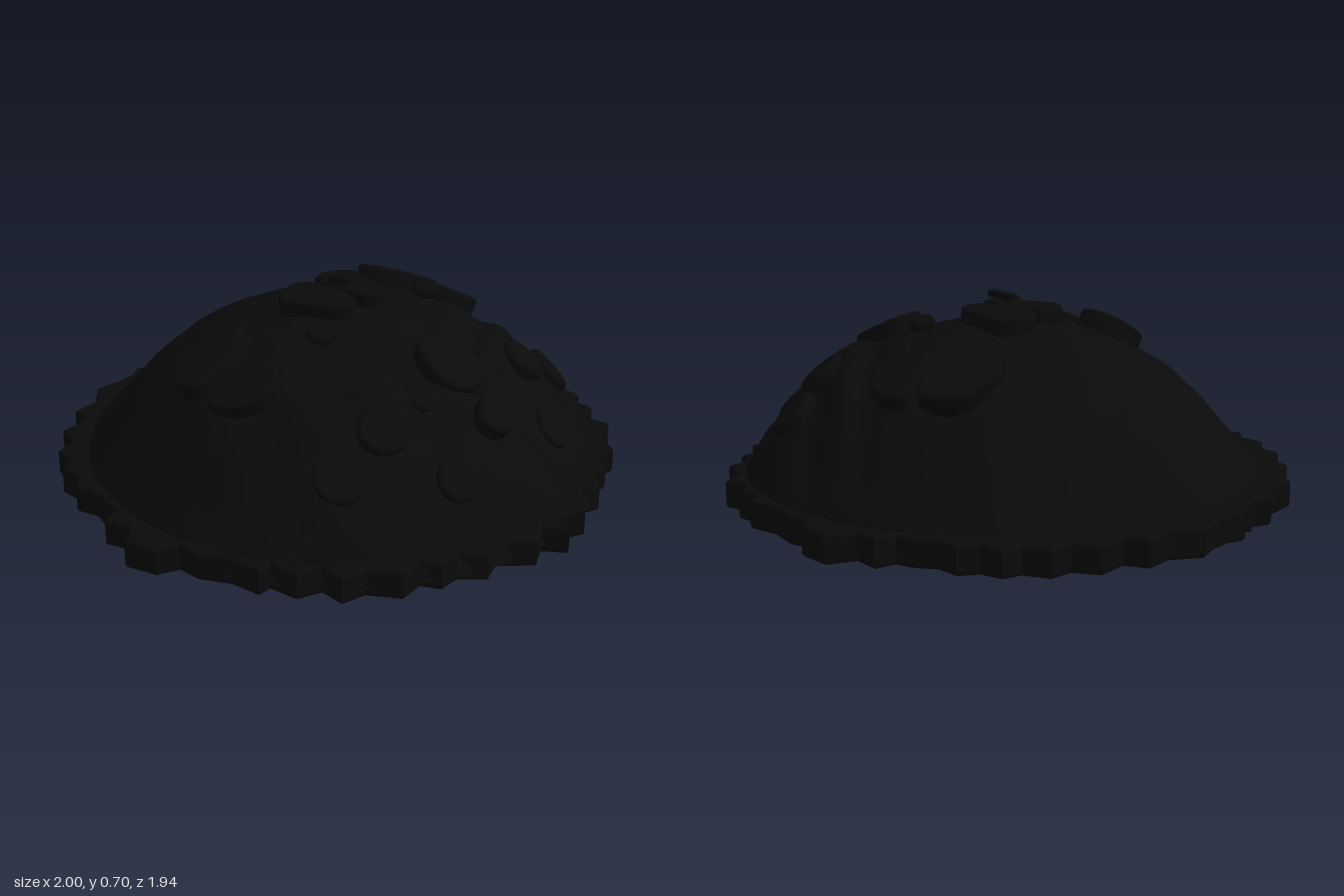
import * as THREE from 'three';

const material = new THREE.MeshStandardMaterial({ color: 0x0a0a0a });

// Right half of the scalloped rim, [x, z] from back to front
const RIM = [[0, -0.95], [0.04, -0.93], [0.1, -0.97], [0.15, -0.94], [0.22, -0.93], [0.32, -0.94],
  [0.4, -0.86], [0.5, -0.85], [0.52, -0.77], [0.63, -0.76], [0.66, -0.67], [0.74, -0.65],
  [0.76, -0.56], [0.82, -0.53], [0.82, -0.45], [0.87, -0.4], [0.85, -0.32], [0.88, -0.24],
  [0.88, -0.19], [0.95, -0.16], [0.92, -0.07], [1.0, -0.01], [0.97, 0.1], [0.9, 0.13], [0.9, 0.21],
  [0.85, 0.31], [0.84, 0.42], [0.79, 0.42], [0.78, 0.52], [0.7, 0.55], [0.71, 0.64], [0.62, 0.66],
  [0.56, 0.76], [0.47, 0.75], [0.44, 0.81], [0.36, 0.81], [0.3, 0.88], [0.22, 0.85], [0.13, 0.94],
  [0.05, 0.9], [0, 0.97]];

// Dome cross-section, [radius, height]
const PROFILE = [[0, 0.6], [0.15, 0.595], [0.22, 0.575], [0.3, 0.55], [0.4, 0.515], [0.5, 0.47],
  [0.6, 0.405], [0.7, 0.31], [0.78, 0.215], [0.88, 0.1], [0.91, 0.03]];

const smooth = THREE.MathUtils.smoothstep;

function profileHeight(r) {
  for (let i = 1; i < PROFILE.length; i++) {
    const [r0, h0] = PROFILE[i - 1], [r1, h1] = PROFILE[i];
    if (r <= r1) return h0 + (h1 - h0) * (r - r0) / (r1 - r0);
  }
  return 0.03;
}

// Height of the dome with symmetric ripples, strongest on the front half
function domeHeight(x, z) {
  const r = Math.hypot(x, z), a = Math.abs(x);
  const fade = smooth(r, 0.2, 0.4) * (1 - smooth(r, 0.8, 0.9));
  const strength = 0.004 + 0.013 * smooth(z, -0.2, 0.35);
  const ripple = Math.sin(19 * a + 5 * z) * Math.cos(17 * z - 4 * a) + 0.5 * Math.sin(33 * z + 21 * a);
  return profileHeight(r) + fade * strength * ripple + 0.02 * smooth(z, 0.25, 0.5) * fade;
}

function add(group, name, geometry) {
  const mesh = new THREE.Mesh(geometry, material);
  mesh.name = name;
  group.add(mesh);
  return mesh;
}

// Bevelled slab lying on the dome; outline is given in plan as [x, z]
function addPlate(group, name, outline, thickness) {
  const n = outline.length;
  const cx = outline.reduce((s, p) => s + p[0], 0) / n;
  const cz = outline.reduce((s, p) => s + p[1], 0) / n;
  const e = 0.08;
  const normal = new THREE.Vector3(
    profileHeight(Math.hypot(cx - e, cz)) - profileHeight(Math.hypot(cx + e, cz)), 2 * e,
    profileHeight(Math.hypot(cx, cz - e)) - profileHeight(Math.hypot(cx, cz + e))).normalize();
  const xAxis = new THREE.Vector3(1, 0, 0).addScaledVector(normal, -normal.x).normalize();
  const yAxis = normal.clone().cross(xAxis);
  const inset = 0.9;
  const curve = new THREE.CatmullRomCurve3(outline.map(([x, z]) =>
    new THREE.Vector3((x - cx) / xAxis.x * inset, (cz - z) / -yAxis.z * inset, 0)), true, 'centripetal');
  const shape = new THREE.Shape(curve.getPoints(32).slice(0, -1).map(p => new THREE.Vector2(p.x, p.y)));
  const bevel = 0.014;
  const geometry = new THREE.ExtrudeGeometry(shape, {
    depth: thickness + 0.05 - bevel, bevelEnabled: true, bevelThickness: bevel,
    bevelSize: bevel, bevelOffset: -0.004, bevelSegments: 3 });
  geometry.translate(0, 0, -0.05);
  geometry.applyMatrix4(new THREE.Matrix4().makeBasis(xAxis, yAxis, normal)
    .setPosition(cx, profileHeight(Math.hypot(cx, cz)), cz));
  add(group, name, geometry);
}

function addPair(group, name, outline, thickness) {
  addPlate(group, name + 'Left', outline, thickness);
  addPlate(group, name + 'Right', outline.map(([x, z]) => [-x, z]), thickness);
}

// Oval outline around a centre
const oval = (x, z, rx, rz) => Array.from({ length: 8 }, (_, i) =>
  [x + rx * Math.cos(i * Math.PI / 4), z + rz * Math.sin(i * Math.PI / 4)]);

export function createModel() {
  const model = new THREE.Group();
  model.name = 'crustedDome';

  // Scalloped rim with a flat underside
  const mirrored = RIM.slice(1, -1).reverse().map(([x, z]) => [-x, z]);
  const rimShape = new THREE.Shape([...RIM, ...mirrored].map(([x, z]) => new THREE.Vector2(x, -z)));
  const rim = new THREE.ExtrudeGeometry(rimShape, {
    depth: 0.07, bevelEnabled: true, bevelThickness: 0.015, bevelSize: 0.015,
    bevelOffset: -0.015, bevelSegments: 3 });
  rim.rotateX(-Math.PI / 2).translate(0, 0.015, 0);
  add(model, 'rim', rim);

  // Rippled dome
  const points = [];
  for (let i = 0; i <= 64; i++) {
    const r = 0.91 * (1 - i / 64);
    points.push(new THREE.Vector2(r, profileHeight(r)));
  }
  const dome = new THREE.LatheGeometry(points, 128);
  const pos = dome.attributes.position;
  for (let i = 0; i < pos.count; i++) pos.setY(i, domeHeight(pos.getX(i), pos.getZ(i)));
  dome.computeVertexNormals();
  add(model, 'dome', dome);

  // Raised plates on the shoulders
  addPair(model, 'upperPlate', [[0.31, -0.2], [0.38, -0.25], [0.55, -0.24], [0.6, -0.17],
    [0.59, -0.07], [0.42, -0.06], [0.33, -0.1]], 0.06);
  addPair(model, 'lowerPlate', [[0.41, 0.0], [0.5, -0.03], [0.61, -0.02], [0.6, 0.08],
    [0.52, 0.15], [0.43, 0.13]], 0.05);

  // Twin crest ridges with a groove between them
  addPair(model, 'crest', [[0.02, -0.15], [0.1, -0.17], [0.18, -0.12], [0.15, 0.0],
    [0.09, 0.11], [0.03, 0.1]], 0.05);

  // Front lumps
  addPlate(model, 'noseLump', [[-0.1, 0.44], [-0.06, 0.36], [0.06, 0.36], [0.1, 0.44],
    [0.09, 0.54], [0, 0.57], [-0.09, 0.54]], 0.055);
  addPlate(model, 'chinLump', oval(0, 0.64, 0.08, 0.05), 0.06);
  addPair(model, 'cheekLump', oval(0.35, 0.49, 0.08, 0.07), 0.04);
  addPair(model, 'sideLump', oval(0.53, 0.47, 0.07, 0.07), 0.04);
  addPair(model, 'innerLump', oval(0.18, 0.49, 0.04, 0.05), 0.03);
  addPair(model, 'lowerLump', oval(0.24, 0.7, 0.07, 0.05), 0.035);

  // Small floating buttons with a rounded edge
  for (const side of [1, -1]) {
    const button = add(model, side > 0 ? 'buttonLeft' : 'buttonRight', new THREE.LatheGeometry(
      [[0, -0.02], [0.035, -0.02], [0.047, -0.008], [0.047, 0.01], [0.036, 0.022], [0.028, 0.012], [0, 0.012]]
        .map(p => new THREE.Vector2(...p)), 24));
    button.position.set(side * 0.265, 0.61, 0.15);
    button.rotation.set(0.1, 0, -side * 0.1);
  }

  // Small floating tip above the groove
  const tip = add(model, 'tip', new THREE.BoxGeometry(0.036, 0.022, 0.09));
  tip.position.set(0, 0.682, 0);
  tip.rotation.x = -0.1;

  return model;
}
